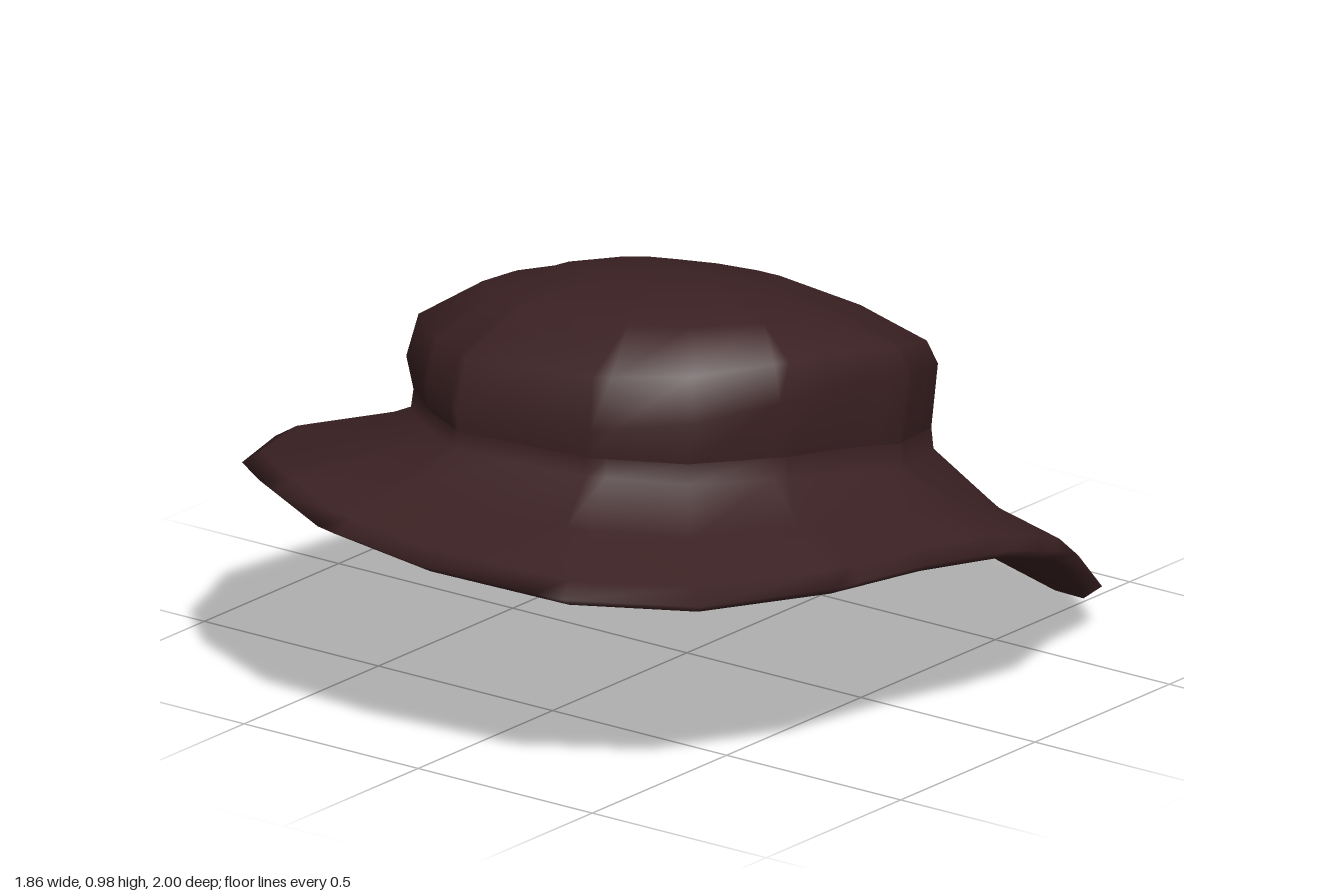
import * as THREE from 'three';

// Brim edge, [x, y, z]
const BRIM = [
  [0, .06, -1], [.42, .027, -.89], [.66, .11, -.69], [.8, .29, -.42], [.915, .39, -.19],
  [.927, .445, 0], [.875, .465, .23], [.825, .475, .51], [.655, .475, .805], [.39, .48, .965],
  [0, .49, 1], [-.3, .515, .985], [-.55, .54, .875], [-.73, .5, .71], [-.85, .46, .43],
  [-.86, .38, .02], [-.93, .32, -.22], [-.865, .32, -.48], [-.72, .285, -.67], [-.43, .16, -.915],
];
// Widest outline of the crown, [x, z]
const CROWN = [
  [.02, -.63], [.23, -.58], [.42, -.39], [.51, -.22], [.575, -.08], [.56, .05], [.53, .28],
  [.42, .5], [.2, .62], [-.16, .65], [-.31, .57], [-.46, .45], [-.5, .22], [-.5, .04],
  [-.55, -.1], [-.51, -.28], [-.4, -.41], [-.24, -.58],
].map(([x, z]) => [x, 0, z]);

const angleOf = (p) => Math.atan2(p[0], p[2]);

// Point where the closed outline meets the ray at angle a
function pointAt(outline, a) {
  const dx = Math.sin(a), dz = Math.cos(a);
  for (let i = 0; i < outline.length; i++) {
    const p = outline[i], q = outline[(i + 1) % outline.length];
    const sp = p[0] * dz - p[2] * dx, sq = q[0] * dz - q[2] * dx;
    if (Math.abs(sp - sq) < 1e-9) continue;
    const t = sp / (sp - sq);
    if (t < -1e-6 || t > 1 + 1e-6) continue;
    const v = p.map((c, k) => c + (q[k] - c) * t);
    if (v[0] * dx + v[2] * dz > 0) return v;
  }
  return outline[0];
}

// Skin a stack of rings; a ring of equal points closes an end
function skin(rings) {
  const n = rings[0].length, index = [];
  for (let r = 0; r < rings.length - 1; r++) {
    for (let i = 0; i < n; i++) {
      const j = (i + 1) % n;
      const a = r * n + i, b = r * n + j, c = a + n, d = b + n;
      index.push(a, b, d, a, d, c);
    }
  }
  const geometry = new THREE.BufferGeometry();
  geometry.setAttribute('position', new THREE.Float32BufferAttribute(rings.flat(2), 3));
  geometry.setIndex(index);
  geometry.computeVertexNormals();
  return geometry;
}

export function createModel() {
  const felt = new THREE.MeshStandardMaterial({ color: 0x3b2123 });
  felt.name = 'dark brown felt';

  // Shared angles keep the corners of both outlines
  const angles = [...BRIM, ...CROWN].map(angleOf).sort((a, b) => a - b)
    .filter((a, i, all) => i === 0 || a - all[i - 1] > 0.02);
  const edge = angles.map((a) => pointAt(BRIM, a));
  const wide = angles.map((a) => pointAt(CROWN, a));

  // Crown ring: scaled outline whose height curves along z and leans along x
  const crownRing = (sx, sz, y0, y1, y2, lean = .05) => wide.map(([x, , z]) => {
    const w = z * sz;
    return [x * sx, y0 + y1 * w + y2 * w * w + lean * x * sx, w];
  });
  const base = crownRing(.965, 1.01, .553, .2, -.1, .01);
  const waist = crownRing(.955, 1, .61, .19, -.12, .01);

  // Brim ring: blend from crown base to edge with a lift
  const brimRing = (t, lift) => edge.map((e, i) =>
    e.map((c, k) => base[i][k] + (c - base[i][k]) * t + (k === 1 ? lift : 0)));
  // Underside ring: blend from the domed centre to just inside the edge
  const underRing = (s, lift) => edge.map(([x, y, z]) =>
    [x * .955 * s, .5 + (y - .027 - .5) * s + lift, z * .955 * s]);

  const brim = new THREE.Mesh(skin([
    underRing(0, 0), underRing(.35, .02), underRing(.7, .035), underRing(1, 0),
    edge, brimRing(.88, .012), brimRing(.4, -.012), base, waist,
  ]), felt);
  brim.name = 'brim';

  const crown = new THREE.Mesh(skin([
    waist,
    crownRing(1, 1, .755, .143, -.27),
    crownRing(.95, .965, .82, .2, -.22),
    crownRing(.72, .74, .875, .23, -.16),
    crownRing(.38, .4, .92, .24, -.1),
    crownRing(0, 0, .93, 0, 0),
  ]), felt);
  crown.name = 'crown';

  const hat = new THREE.Group();
  hat.name = 'hat';
  hat.add(brim, crown);
  return hat;
}
